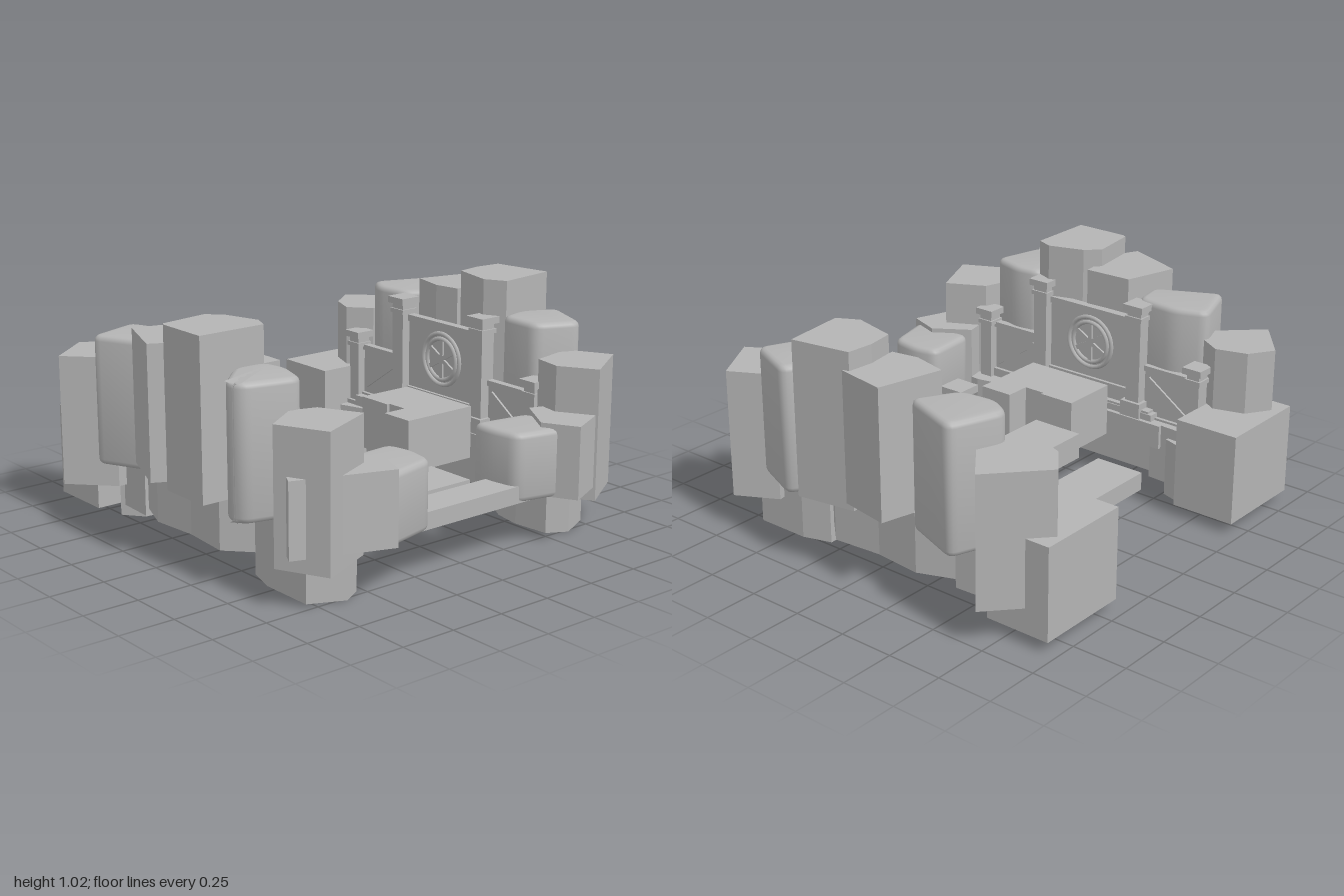
import * as THREE from 'three';
import { toCreasedNormals } from 'three/addons/utils/BufferGeometryUtils.js';

export function createModel() {
  const root = new THREE.Group();
  root.name = 'rockArena';
  const stone = new THREE.MeshStandardMaterial({ color: 0xb4b4b4 });
  stone.name = 'grey stone';

  function add(parent, name, geo) {
    const mesh = new THREE.Mesh(geo, stone);
    mesh.name = name;
    parent.add(mesh);
    return mesh;
  }
  // Box from its minimum and maximum corners
  function box(parent, name, x0, x1, y0, y1, z0, z1) {
    const mesh = add(parent, name, new THREE.BoxGeometry(x1 - x0, y1 - y0, z1 - z0));
    mesh.position.set((x0 + x1) / 2, (y0 + y1) / 2, (z0 + z1) / 2);
    return mesh;
  }
  // Upright prism from a plan outline of [x, z] points
  function rock(name, y0, y1, plan) {
    const shape = new THREE.Shape(plan.map(([x, z]) => new THREE.Vector2(x, -z)));
    const geo = new THREE.ExtrudeGeometry(shape, { depth: y1 - y0, bevelEnabled: false });
    add(root, name, geo.rotateX(-Math.PI / 2).translate(0, y0, 0));
  }
  // Prism with rounded corners and soft top and bottom edges
  function softRock(name, y0, y1, plan, bevel = 0.025) {
    const pts = plan.map(([x, z]) => new THREE.Vector2(x, -z));
    const shape = new THREE.Shape();
    pts.forEach((p, i) => {
      const a = pts[(i + pts.length - 1) % pts.length], b = pts[(i + 1) % pts.length];
      const s = p.clone().add(a.clone().sub(p).setLength(0.045));
      const e = p.clone().add(b.clone().sub(p).setLength(0.045));
      if (i === 0) shape.moveTo(s.x, s.y); else shape.lineTo(s.x, s.y);
      shape.quadraticCurveTo(p.x, p.y, e.x, e.y);
    });
    shape.closePath();
    const geo = new THREE.ExtrudeGeometry(shape, {
      depth: y1 - y0 - 2 * bevel, bevelThickness: bevel, bevelSize: bevel,
      bevelOffset: -bevel, bevelSegments: 3, curveSegments: 4,
    });
    geo.rotateX(-Math.PI / 2).translate(0, y0 + bevel, 0);
    add(root, name, toCreasedNormals(geo, 0.7));
  }

  // Tall rocks on the right (-x) side, back to front
  rock('backRockRight', 0.16, 0.74, [[-0.97, -0.76], [-0.77, -0.92], [-0.66, -0.85], [-0.62, -0.71], [-0.7, -0.58], [-0.8, -0.58]]);
  softRock('rearSoftRockRight', 0.3, 0.87, [[-0.94, -0.54], [-0.68, -0.63], [-0.62, -0.48], [-0.64, -0.28], [-0.8, -0.25]]);
  rock('midRearRockRight', 0.36, 0.94, [[-1, -0.02], [-0.895, -0.29], [-0.65, -0.22], [-0.64, 0], [-0.9, 0.03]]);
  rock('midFrontRockRight', 0.33, 1.02, [[-0.95, 0.03], [-0.94, 0.01], [-0.72, -0.02], [-0.66, 0.04], [-0.61, 0.2], [-0.64, 0.275], [-0.95, 0.275]]);
  softRock('frontSoftRockRight', 0.3, 0.87, [[-0.94, 0.42], [-0.92, 0.5], [-0.67, 0.56], [-0.62, 0.4], [-0.64, 0.28], [-0.79, 0.27]]);
  rock('frontRockRight', 0.16, 0.74, [[-0.885, 0.65], [-0.72, 0.54], [-0.61, 0.575], [-0.52, 0.75], [-0.78, 0.865]]);
  rock('lowFrontRockRight', 0.22, 0.54, [[-0.89, 0.75], [-0.47, 0.9], [-0.415, 0.75], [-0.52, 0.59], [-0.84, 0.66]]);
  softRock('gateRockRight', 0.22, 0.52, [[-0.5, 0.59], [-0.24, 0.57], [-0.215, 0.69], [-0.24, 0.83], [-0.49, 0.89]]);

  // Tall rocks on the left (+x) side, back to front
  rock('backRockLeft', 0.16, 0.74, [[1, -0.72], [0.77, -0.93], [0.645, -0.835], [0.595, -0.71], [0.68, -0.61], [0.815, -0.57]]);
  softRock('rearSoftRockLeft', 0.3, 0.87, [[0.7, -0.63], [0.95, -0.54], [0.84, -0.25], [0.65, -0.36], [0.635, -0.53]]);
  rock('midRearRockLeft', 0.36, 0.94, [[0.68, -0.28], [0.97, -0.21], [0.93, 0.02], [0.66, 0], [0.64, -0.12]]);
  rock('midFrontRockLeft', 0.33, 1.02, [[0.68, 0], [0.8, -0.02], [0.92, -0.01], [0.965, 0.26], [0.68, 0.295], [0.63, 0.2]]);
  softRock('frontSoftRockLeft', 0.3, 0.87, [[0.65, 0.3], [0.79, 0.27], [0.95, 0.345], [0.84, 0.6], [0.64, 0.51]]);
  rock('frontRockLeft', 0.16, 0.74, [[0.59, 0.59], [0.8, 0.55], [0.9, 0.735], [0.66, 0.88], [0.565, 0.72]]);
  rock('lowFrontRockLeft', 0.22, 0.54, [[0.4, 0.8], [0.48, 0.95], [0.7, 0.85], [0.62, 0.64], [0.52, 0.61]]);
  softRock('gateRockLeft', 0.22, 0.52, [[0.23, 0.565], [0.51, 0.61], [0.51, 0.88], [0.24, 0.82], [0.22, 0.68]]);

  // Low foundation rocks, corner blocks and platforms, mirrored
  for (const s of [1, -1]) {
    const side = s > 0 ? 'Left' : 'Right';
    const m = (plan) => plan.map(([x, z]) => [s * x, z]);
    rock('frontFoundation' + side, 0, 0.3, m([[0.6, 0.32], [0.54, 0.42], [0.515, 0.55], [0.53, 0.72], [0.62, 0.77], [0.77, 0.7], [0.77, 0.45], [0.73, 0.32]]));
    rock('midFrontFoundation' + side, 0.09, 0.36, m([[0.57, -0.03], [0.57, 0.31], [0.7, 0.33], [0.82, 0.2], [0.8, -0.03]]));
    rock('midRearFoundation' + side, 0.09, 0.36, m([[0.57, -0.03], [0.8, -0.03], [0.82, -0.25], [0.75, -0.43], [0.57, -0.42]]));
    rock('rearFoundation' + side, 0.06, 0.33, m([[0.57, -0.42], [0.77, -0.42], [0.76, -0.6], [0.56, -0.6]]));
    rock('backFoundation' + side, 0.01, 0.28, m([[0.51, -0.65], [0.55, -0.52], [0.7, -0.53], [0.77, -0.62], [0.7, -0.7], [0.57, -0.7]]));

    const half = new THREE.Group();
    half.name = 'blocks' + side;
    root.add(half);
    const span = (name, a, b, ...rest) => box(half, name, Math.min(s * a, s * b), Math.max(s * a, s * b), ...rest);
    span('cornerBlock', 0.42, 0.86, 0.05, 0.46, -0.96, -0.66);
    span('platformRear', 0.27, 0.54, 0.22, 0.46, -0.2, -0.03);
    span('platformMiddle', 0.285, 0.54, 0.22, 0.46, -0.03, 0.07);
    span('platformFront', 0.17, 0.54, 0.22, 0.46, 0.07, 0.23);

    // Ornamental wall with stepped plinth
    span('plinth', 0.55, 0.67, 0.22, 0.33, -0.48, 0.41);
    span('plinthStep', 0.575, 0.67, 0.33, 0.37, -0.4, 0.31);
    span('wallPanel', 0.615, 0.635, 0.36, 0.77, -0.28, 0.2);
    span('panelTopRail', 0.605, 0.645, 0.75, 0.78, -0.28, 0.2);
    span('panelBottomRail', 0.6, 0.645, 0.37, 0.44, -0.28, 0.2);
    // Columns: centre z, half width, base, top
    for (const [z, w, y0, y1] of [[-0.31, 0.036, 0.3, 0.86], [0.22, 0.036, 0.3, 0.86], [-0.63, 0.032, 0.2, 0.64], [0.55, 0.032, 0.2, 0.64]]) {
      const column = (name, r, a, b) => span(name, 0.61 - r, 0.61 + r, a, b, z - r, z + r);
      column('columnShaft', w, y0, y1 - 0.03);
      column('columnBase', w + 0.016, y0, y0 + 0.1);
      column('columnCollar', w + 0.008, y1 - 0.075, y1 - 0.055);
      column('columnCapital', w + 0.016, y1 - 0.03, y1);
    }
    // Low side panels with rails and a slanted brace
    for (const [z0, z1, dir] of [[-0.6, -0.35, -1], [0.26, 0.52, 1]]) {
      span('sidePanel', 0.617, 0.633, 0.25, 0.56, z0, z1);
      span('sideRail', 0.605, 0.64, 0.55, 0.575, z0, z1);
      span('sideSill', 0.6, 0.64, 0.3, 0.34, z0, z1);
      const brace = span('sideBrace', 0.607, 0.62, 0.435, 0.455, z0, z1);
      brace.rotation.x = dir * 0.6;
    }
    // Round medallion in the middle of the wall
    const cz = -0.045, cy = 0.61;
    for (const r of [0.12, 0.095]) {
      const ring = add(half, 'medallionRing', new THREE.TorusGeometry(r, 0.01, 6, 32));
      ring.rotation.y = Math.PI / 2;
      ring.position.set(s * 0.61, cy, cz);
    }
    for (let i = 0; i < 3; i++) {
      const bar = span('medallionBar', 0.605, 0.617, cy - 0.09, cy + 0.09, cz - 0.01, cz + 0.01);
      bar.rotation.x = (i * Math.PI) / 3;
    }
  }

  // Front beam and the floating slabs down the middle
  box(root, 'frontBeam', -0.42, 0.42, 0.22, 0.295, 0.66, 0.82);
  box(root, 'backSlab', -0.165, 0.165, 0.22, 0.3, -0.66, -0.43);
  box(root, 'middleSlab', -0.165, 0.165, 0.27, 0.385, -0.325, -0.085);
  box(root, 'frontSlab', -0.165, 0.165, 0.22, 0.295, 0.385, 0.625);
  return root;
}
